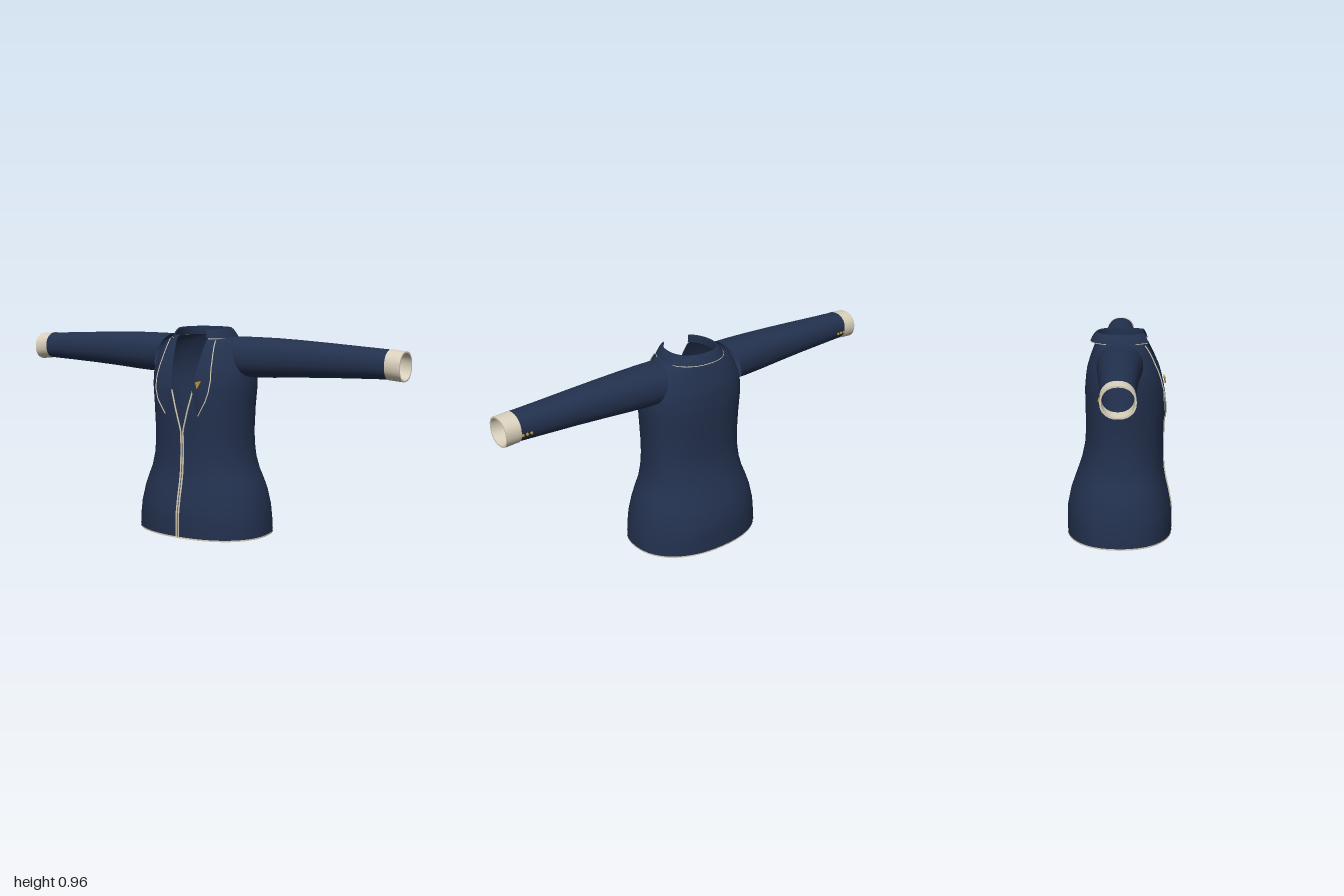
import * as THREE from 'three';
import { mergeVertices } from 'three/addons/utils/BufferGeometryUtils.js';

const mat = (name, color) => {
  const m = new THREE.MeshStandardMaterial({ color, side: THREE.DoubleSide });
  m.name = name;
  return m;
};

// piecewise-linear lookup in rows keyed by their first entry
function lookup(rows, k) {
  let i = 0;
  while (i < rows.length - 2 && k > rows[i + 1][0]) i++;
  const a = rows[i], b = rows[i + 1];
  const f = THREE.MathUtils.clamp((k - a[0]) / (b[0] - a[0]), 0, 1);
  return a.slice(1).map((q, j) => q + (b[j + 1] - q) * f);
}

// smooth grid surface through point(u index, v index)
function grid(nu, nv, point) {
  const pos = [], idx = [], w = nu + 1;
  for (let j = 0; j <= nv; j++) for (let i = 0; i <= nu; i++) pos.push(...point(i / nu, j));
  for (let j = 0; j < nv; j++) for (let i = 0; i < nu; i++) {
    const a = j * w + i;
    idx.push(a, a + 1, a + w + 1, a, a + w + 1, a + w);
  }
  let g = new THREE.BufferGeometry();
  g.setAttribute('position', new THREE.Float32BufferAttribute(pos, 3));
  g.setIndex(idx);
  g = mergeVertices(g, 1e-5);
  g.computeVertexNormals();
  return g;
}

// torso: height, half width, front depth, back depth
const TORSO = [
  [0, 0.333, 0.25, 0.25], [0.06, 0.33, 0.251, 0.251], [0.125, 0.322, 0.248, 0.25],
  [0.2, 0.305, 0.234, 0.235], [0.25, 0.288, 0.222, 0.218], [0.3, 0.267, 0.213, 0.2],
  [0.36, 0.252, 0.208, 0.18], [0.43, 0.245, 0.207, 0.165], [0.5, 0.245, 0.209, 0.16],
  [0.6, 0.25, 0.212, 0.161], [0.7, 0.259, 0.208, 0.163], [0.76, 0.258, 0.197, 0.158],
  [0.8, 0.25, 0.186, 0.152], [0.85, 0.232, 0.165, 0.137], [0.89, 0.208, 0.147, 0.122],
  [0.915, 0.18, 0.136, 0.112], [0.927, 0.15, 0.13, 0.107], [0.932, 0.122, 0.125, 0.104],
];
// half width of the front opening by height
const GAP = [[0, 0.003], [0.5, 0.003], [0.6, 0.03], [0.69, 0.055], [0.8, 0.069], [0.932, 0.083]];
const E = 0.9;
const pow = (s) => Math.sign(s) * Math.abs(s) ** E;

function ring([w, zf, zb], y, t, off = 0) {
  const c = Math.cos(t);
  return [(w + off) * pow(Math.sin(t)), y, ((c > 0 ? zf : zb) + off) * pow(c)];
}
function onFront(x, y, off = 0) {
  const p = lookup(TORSO, y);
  const t = Math.asin(Math.min(1, (Math.abs(x) / p[0]) ** (1 / E)));
  const q = ring(p, y, t, off);
  return [Math.sign(x) * q[0], y, q[2]];
}

// closed tube along x; rows: x, top y, bottom y, front z, back z, lean of the ring
const tubeX = (rows) => grid(28, rows.length - 1, (u, j) => {
  const [x, top, bot, zf, zb, lean = 0] = rows[j];
  const s = -Math.sin(u * Math.PI * 2), c = Math.cos(u * Math.PI * 2);
  return [x - lean * s, (top + bot) / 2 + (top - bot) / 2 * pow(s), (zf + zb) / 2 + (zf - zb) / 2 * pow(c)];
});

const piping = (pts, r) => new THREE.TubeGeometry(
  new THREE.CatmullRomCurve3(pts.map((p) => new THREE.Vector3(...p))), 48, r, 5);

export function createModel() {
  const navy = mat('navy cloth', 0x23314e);
  const cream = mat('cream trim', 0xd9d0bc);
  const gold = mat('gold metal', 0xb08a3a);
  const model = new THREE.Group();
  model.name = 'jacket';
  const add = (name, geo, m, parent = model) => {
    const mesh = new THREE.Mesh(geo, m);
    mesh.name = name;
    parent.add(mesh);
    return mesh;
  };

  // torso, open along the front
  const ys = [];
  TORSO.forEach(([y], i) => { if (i) ys.push((y + TORSO[i - 1][0]) / 2); ys.push(y); });
  add('torso', grid(64, ys.length - 1, (u, j) => {
    const y = ys[j], p = lookup(TORSO, y);
    const t0 = Math.asin((lookup(GAP, y)[0] / p[0]) ** (1 / E));
    return ring(p, y, t0 + u * (Math.PI * 2 - 2 * t0));
  }), navy);

  // hem band
  add('hem', grid(64, 1, (u, j) => ring(TORSO[0].slice(1), j * 0.007, u * Math.PI * 2, 0.002)), cream);

  // folded collar: stand, top edge and fall
  const collar = [
    [0.925, 0.117, 0.14, 0.103], [0.958, 0.114, 0.135, 0.102], [0.965, 0.119, 0.136, 0.106],
    [0.957, 0.129, 0.144, 0.116], [0.94, 0.142, 0.153, 0.128], [0.922, 0.152, 0.16, 0.136],
  ];
  const collarPoint = (u, j) => {
    const t0 = 0.62;
    return ring(collar[j].slice(1), collar[j][0], t0 + u * (Math.PI * 2 - 2 * t0));
  };
  add('collar', grid(40, 5, collarPoint), navy);
  add('collarPiping', piping([...Array(31)].map((_, i) => collarPoint(i / 30, 5)), 0.0018), cream);

  // lapel: height, inner x, outer x, lift of the outer edge
  const LAPEL = [
    [0.575, 0.083, 0.086, 0.012], [0.64, 0.066, 0.117, 0.026], [0.69, 0.055, 0.131, 0.026],
    [0.74, 0.062, 0.136, 0.022], [0.82, 0.071, 0.13, 0.014], [0.915, 0.081, 0.118, 0.01],
  ];
  const lapelPoint = (u, y) => {
    const [a, b, lift] = lookup(LAPEL, y);
    return onFront(a + (b - a) * u, y, 0.005 + (lift - 0.005) * u);
  };
  const lapelY = (k) => 0.575 + 0.34 * k;

  // sleeve and cuff sections
  const sleeve = [
    [0.215, 0.93, 0.746, 0.108, -0.103, 0.035], [0.28, 0.931, 0.746, 0.104, -0.1, 0.015],
    [0.38, 0.93, 0.75, 0.095, -0.095], [0.5, 0.926, 0.758, 0.088, -0.089],
    [0.65, 0.919, 0.766, 0.08, -0.081], [0.8, 0.911, 0.772, 0.073, -0.074],
    [0.935, 0.904, 0.777, 0.069, -0.068],
  ];
  const cuffOuter = [[0.93, 0.906, 0.774, 0.071, -0.071], [1, 0.9, 0.769, 0.073, -0.07]];
  const cuffInner = [[1, 0.893, 0.776, 0.066, -0.063], [0.93, 0.898, 0.782, 0.064, -0.064]];

  for (const [side, sx] of [['left', 1], ['right', -1]]) {
    const half = new THREE.Group();
    half.name = side + 'Side';
    half.scale.x = sx;
    model.add(half);

    add('sleeve', tubeX(sleeve), navy, half);
    add('cuffOutside', tubeX(cuffOuter), cream, half);
    add('cuffRim', tubeX([cuffOuter[1], cuffInner[0]]), cream, half);
    add('cuffLining', tubeX(cuffInner), cream, half);

    // small buttons behind the wrist
    for (let i = 0; i < 3; i++) {
      const b = add('cuffButton', new THREE.SphereGeometry(0.007, 10, 6), gold, half);
      b.position.set(0.885 + i * 0.02, 0.825, -0.071);
    }

    add('lapel', grid(8, 24, (u, j) => lapelPoint(u, lapelY(j / 24))), navy, half);
    add('lapelPiping', piping([...Array(25)].map((_, j) => lapelPoint(1, lapelY(j / 24))), 0.0028), cream, half);

    // zip tape along the front edge
    const edge = [...Array(36)].map((_, j) => {
      const y = 0.004 + 0.686 * j / 35;
      return onFront(lookup(GAP, y)[0] + 0.003, y, 0.001);
    });
    add('zipTape', piping(edge, 0.0042), cream, half);

    // patch pocket on the lining
    add('innerPocket', grid(6, 4, (u, j) => onFront(0.09 + 0.1 * u, 0.09 + 0.035 * j, -0.008)), navy, half);
  }

  // closing strip behind the zip
  add('zipPlacket', grid(1, 20, (u, j) => {
    const [x, y, z] = onFront(0.005, 0.004 + 0.5 * j / 20, -0.002);
    return [x * (2 * u - 1), y, z];
  }), navy);

  // three-cornered pin on the left lapel
  const shape = new THREE.Shape([[-0.016, 0.01], [0.014, 0.019], [-0.004, -0.02]].map((p) => new THREE.Vector2(...p)));
  const pin = add('lapelPin', new THREE.ExtrudeGeometry(shape, { depth: 0.006, bevelEnabled: false }), gold);
  const [px, py, pz] = lapelPoint(0.4, 0.72);
  pin.position.set(px, py, pz + 0.006);
  pin.rotation.set(-0.15, 0.1, 0);
  return model;
}
